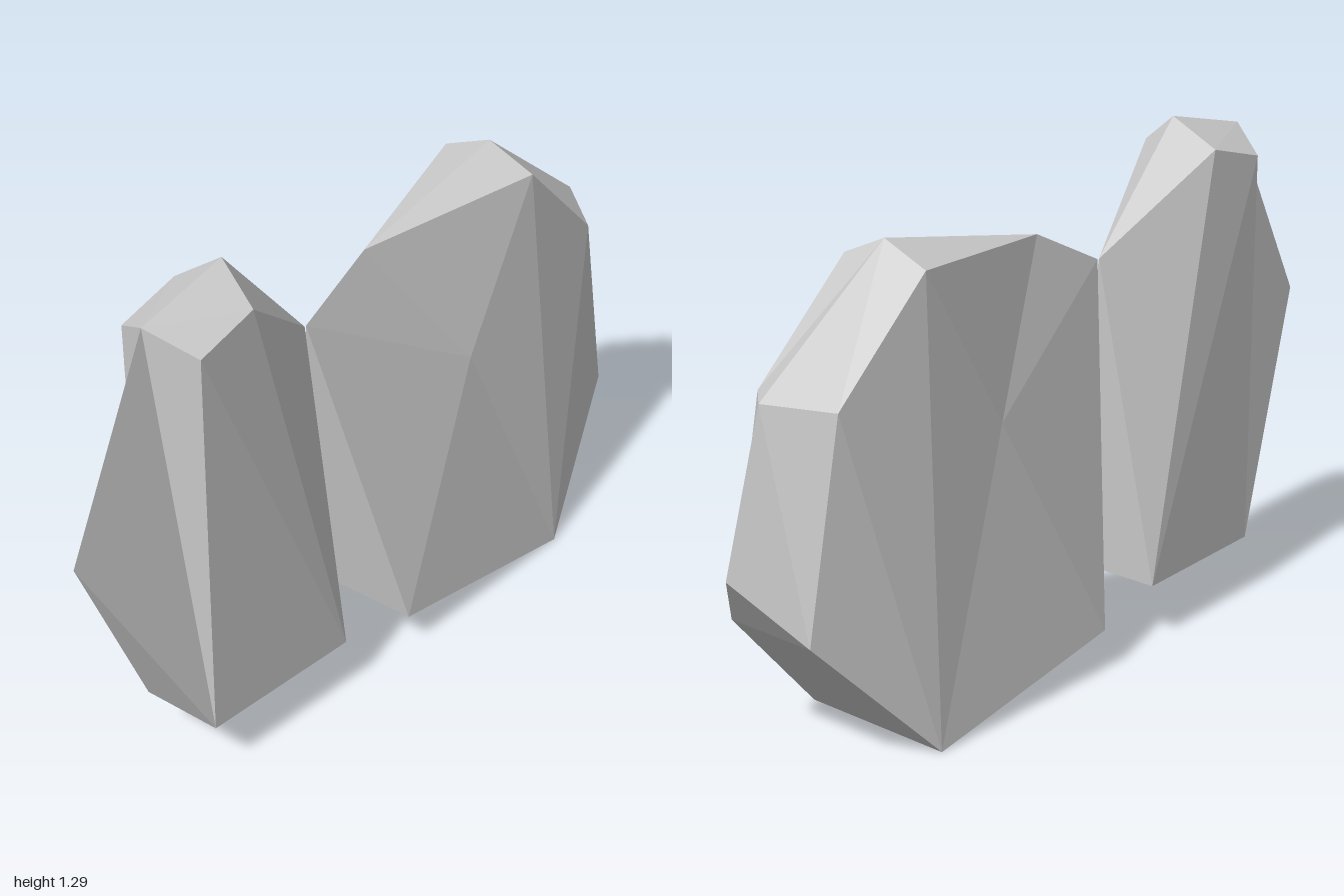
import * as THREE from 'three';

const material = new THREE.MeshStandardMaterial({ color: 0xcccccc, flatShading: true });
const mirror = ([x, y, z]) => [-x, y, z];

// Faceted rock, symmetric about x = 0.
// faces: polygons of the +x half, fanned from their first point, then mirrored.
// belt: points whose mirrored pairs are bridged across the underside.
function makeRock(name, points, faces, belt, centre) {
  const positions = [];
  const mid = new THREE.Vector3(...centre);

  // adds a triangle facing away from the rock's centre, skipping empty ones
  function triangle(...corners) {
    let [a, b, c] = corners.map((p) => new THREE.Vector3(...p));
    const normal = b.clone().sub(a).cross(c.clone().sub(a));
    if (normal.length() < 1e-6) return;
    if (normal.dot(a.clone().sub(mid)) < 0) [b, c] = [c, b];
    for (const v of [a, b, c]) positions.push(v.x, v.y, v.z);
  }

  for (const face of faces) {
    const ring = [...face].map((key) => points[key]);
    for (let i = 1; i < ring.length - 1; i++) {
      const t = [ring[0], ring[i], ring[i + 1]];
      triangle(...t);
      triangle(...t.map(mirror));
    }
  }
  for (let i = 0; i < belt.length - 1; i++) {
    const p = points[belt[i]], q = points[belt[i + 1]];
    triangle(p, q, mirror(q));
    triangle(p, mirror(q), mirror(p));
  }

  const geometry = new THREE.BufferGeometry();
  geometry.setAttribute('position', new THREE.Float32BufferAttribute(positions, 3));
  geometry.computeVertexNormals();
  const mesh = new THREE.Mesh(geometry, material);
  mesh.name = name;
  return mesh;
}

export function createModel() {
  const group = new THREE.Group();
  group.name = 'splitRock';

  // tall, narrow front rock: ridge F-G-H-E, flank A-B-D-C
  group.add(makeRock('frontRock', {
    F: [0, 0.76, 1.0], G: [0, 1.245, 0.75], H: [0, 1.295, 0.49], E: [0, 0.98, 0.213],
    A: [0.112, 1.18, 0.693], B: [0.112, 1.22, 0.52],
    C: [0.105, 0.153, 0.69], D: [0.15, 0.15, 0.255],
  }, ['GACF', 'GHBA', 'ABDC', 'EHBD'], 'FCDE', [0, 0.65, 0.55]));

  // bulky rear rock: ridge P-Q-R-S-T, flank a-f
  group.add(makeRock('rearRock', {
    P: [0, 0.98, 0.208], Q: [0, 1.08, -0.01], R: [0, 1.158, -0.51],
    S: [0, 0.86, -0.89], T: [0, 0.483, -1.0],
    a: [0.13, 0.70, -0.27], b: [0.18, 0.105, 0.04], c: [0.215, 0, -0.565],
    d: [0.13, 1.105, -0.51], e: [0.13, 0.84, -0.78], f: [0.13, 0.325, -0.88],
  }, ['PQab', 'QRda', 'RSed', 'STfe', 'cbadef'], 'TfcbP', [0, 0.55, -0.4]));

  return group;
}
